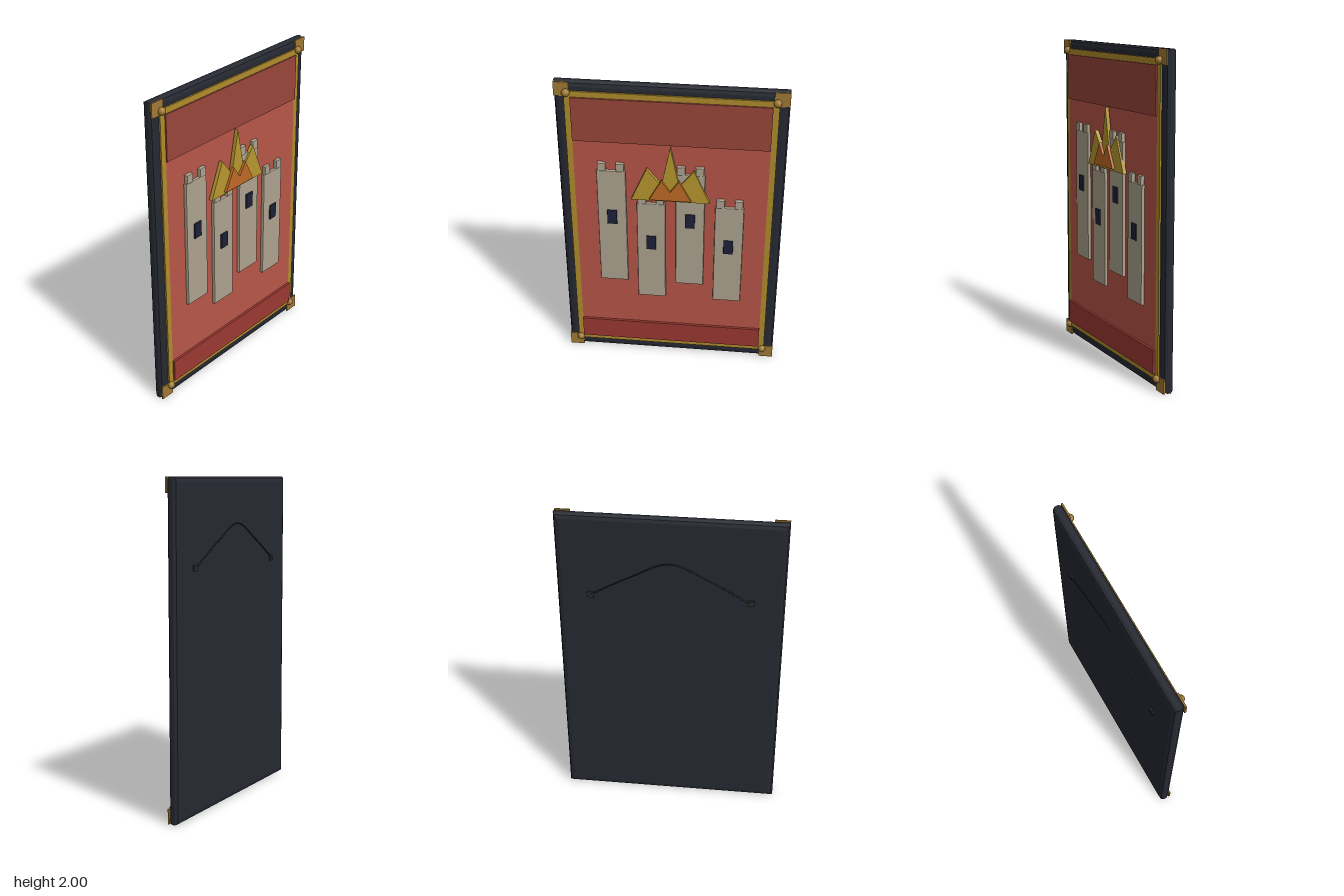
import * as THREE from 'three';

const mat = (color) => new THREE.MeshStandardMaterial({ color });
const M = {
  frame: mat(0x262932), gold: mat(0xb08c2c), brass: mat(0xa07a35), cloth: mat(0xb85548),
  topBand: mat(0x99463a), hem: mat(0x9c3832), stone: mat(0xada38e), window: mat(0x1d2138),
  crown: mat(0xb89830), flame: mat(0xbf6a25), wire: mat(0x2b2b2e),
};

// Everything is laid out facing +z, then the whole panel is turned to face +x.
export function createModel() {
  const panel = new THREE.Group();
  panel.name = 'wallPanel';
  const add = (name, geometry, material, parent = panel) => {
    const mesh = new THREE.Mesh(geometry, material);
    mesh.name = name;
    parent.add(mesh);
    return mesh;
  };
  // Box given by its bounds in x, y and z
  const box = (name, x0, x1, y0, y1, z0, z1, material, parent) => {
    const g = new THREE.BoxGeometry(x1 - x0, y1 - y0, z1 - z0);
    g.translate((x0 + x1) / 2, (y0 + y1) / 2, (z0 + z1) / 2);
    return add(name, g, material, parent);
  };
  // Outline extruded from z0 to z1 with chamfered rims, keeping its outer size
  const plate = (name, points, z0, z1, bevel, thick, material, parent) => {
    const g = new THREE.ExtrudeGeometry(new THREE.Shape(points.map(([x, y]) => new THREE.Vector2(x, y))), {
      depth: z1 - z0 - 2 * thick, bevelEnabled: bevel > 0, bevelSize: bevel,
      bevelOffset: -bevel, bevelThickness: thick, bevelSegments: 2,
    });
    g.translate(0, 0, z0 + thick);
    return add(name, g, material, parent);
  };
  const rect = (x0, x1, y0, y1) => [[x0, y0], [x1, y0], [x1, y1], [x0, y1]];

  // Dark backing board
  plate('backingBoard', rect(-0.68, 0.68, 0, 2), -0.054, 0.012, 0.03, 0.022, M.frame);

  // Cloth with its upper band and lower hem
  box('cloth', -0.585, 0.585, 0.098, 1.908, 0.005, 0.022, M.cloth);
  box('upperBand', -0.585, 0.585, 1.62, 1.908, 0.012, 0.031, M.topBand);
  box('lowerHem', -0.585, 0.585, 0.098, 0.245, 0.012, 0.037, M.hem);

  // Gold trim
  box('trimTop', -0.62, 0.62, 1.908, 1.945, 0.005, 0.022, M.gold);
  box('trimBottom', -0.62, 0.62, 0.062, 0.098, 0.005, 0.022, M.gold);
  for (const s of [-1, 1]) {
    const c = s * 0.603;
    box('trimSide', c - 0.018, c + 0.018, 0.098, 1.908, 0.005, 0.022, M.gold);
    // Corner plates and studs
    for (const y of [0.045, 1.955]) {
      const x = s * 0.635;
      box('cornerPlate', x - 0.045, x + 0.045, y - 0.045, y + 0.045, 0.008, 0.018, M.brass);
      const stud = add('cornerStud', new THREE.SphereGeometry(0.024, 20, 14), M.brass);
      stud.position.set(s * 0.608, y < 1 ? 0.074 : 1.935, 0.023);
    }
  }

  // Four towers with battlements and a window each
  [[-0.36, 0.6], [-0.12, 0.483], [0.12, 0.6], [0.36, 0.483]].forEach(([x, y0], i) => {
    const tower = new THREE.Group();
    tower.name = 'tower' + (i + 1);
    panel.add(tower);
    const tall = i % 2 === 0;
    const y1 = tall ? 1.428 : 1.206;
    const wy = tall ? 1.095 : 0.915;
    plate('towerBody', rect(x - 0.088, x + 0.088, y0, y1), 0.018, 0.043, 0.006, 0.006, M.stone, tower);
    for (const s of [-1, 1]) {
      const mx = x + s * 0.056;
      plate('battlement', rect(mx - 0.025, mx + 0.025, y1 - 0.002, y1 + 0.054), 0.018, 0.046, 0.005, 0.005, M.stone, tower);
    }
    plate('window', rect(x - 0.03, x + 0.03, wy - 0.05, wy + 0.05), 0.035, 0.053, 0.005, 0.005, M.window, tower);
  });

  // Three-pointed crown with a smaller two-pointed flame in front
  plate('crown', [[-0.238, 1.24], [0.238, 1.24], [0.143, 1.463], [0.054, 1.352], [0, 1.62],
    [-0.054, 1.352], [-0.143, 1.463]], 0.03, 0.054, 0, 0, M.crown);
  plate('flame', [[-0.128, 1.255], [0.128, 1.255], [0.053, 1.395], [0, 1.315], [-0.053, 1.395]],
    0.05, 0.07, 0, 0, M.flame);

  // Hanging wire and its two anchors on the back
  const left = new THREE.Vector3(-0.48, 1.48, -0.06);
  const top = new THREE.Vector3(0, 1.72, -0.07);
  const right = new THREE.Vector3(0.48, 1.48, -0.06);
  const path = new THREE.CatmullRomCurve3([left, new THREE.Vector3(-0.24, 1.615, -0.066), top,
    new THREE.Vector3(0.24, 1.615, -0.066), right]);
  add('hangingWire', new THREE.TubeGeometry(path, 32, 0.004, 8), M.wire);
  for (const p of [left, right]) {
    box('wireAnchor', p.x - 0.02, p.x + 0.02, p.y - 0.018, p.y + 0.018, -0.063, -0.05, M.wire);
  }

  panel.rotation.y = Math.PI / 2;
  const model = new THREE.Group();
  model.name = 'castlePanel';
  model.add(panel);
  return model;
}
